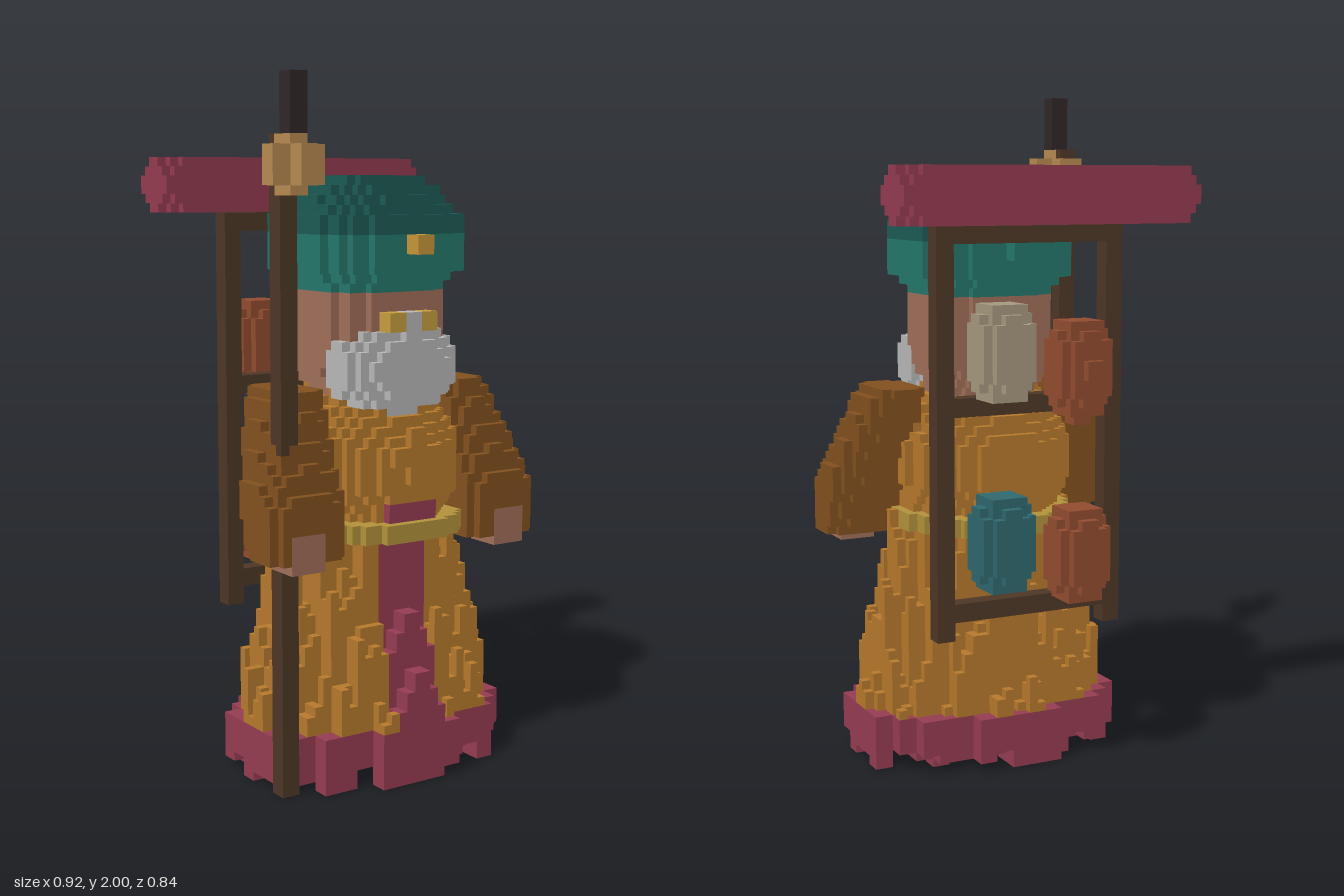
import * as THREE from 'three';
import { mergeGeometries } from 'three/addons/utils/BufferGeometryUtils.js';

const H = 1 / 37; // size of a fine cell; a coarse cell is 2 x 2 x 2 fine cells
const COLORS = {
  robe: 0xb97b2d, hem: 0x983d53, sash: 0x983d53, belt: 0xb5943c,
  sleeves: 0x84521f, hands: 0xa3705a, head: 0xa3705a, beard: 0xbababa, eyebrows: 0xc9a040,
  turbanBand: 0x24796c, turbanCrown: 0x1d5c55, turbanJewel: 0xc9983a,
  packFrame: 0x4f3827, bedroll: 0x963c52, creamJar: 0xa89a80, clayJars: 0x944d30, tealJar: 0x2f6a70,
  staff: 0x4f3827, staffKnob: 0xba8c52, staffTip: 0x302729,
};

// Small repeatable noise in 0..1
const noise = (a, b) => {
  const s = Math.sin(a * 127.1 + b * 311.7) * 43758.5453;
  return s - Math.floor(s);
};

export function createModel() {
  const model = new THREE.Group();
  const cells = new Map();
  const key = (i, j, k) => i + ',' + j + ',' + k;

  // Fine cells between two inclusive corners; keep() gets each cell's centre
  const fill = (part, [i0, j0, k0], [i1, j1, k1], keep = () => true) => {
    for (let i = i0; i <= i1; i++)
      for (let j = j0; j <= j1; j++)
        for (let k = k0; k <= k1; k++)
          if (keep(i + 0.5, j + 0.5, k)) cells.set(key(i, j, k), { part, i, j, k });
  };
  // Solid block given in inclusive coarse cells
  const block = (part, [i0, j0, k0], [i1, j1, k1] = [i0, j0, k0]) =>
    fill(part, [2 * i0 - 1, 2 * j0, 2 * k0], [2 * i1, 2 * j1 + 1, 2 * k1 + 1]);
  // Rounded body in fine units; a higher power is boxier
  const blob = (part, [cx, cy, cz], [rx, ry, rz], power = 2) =>
    fill(part, [cx - rx - 1, cy - ry - 1, cz - rz - 1].map(Math.floor), [cx + rx, cy + ry, cz + rz].map(Math.ceil),
      (x, y, z) => Math.abs((x - cx) / rx) ** power + Math.abs((y - cy) / ry) ** power
        + Math.abs((z - cz) / rz) ** power <= 1);
  // One rounded layer in fine units
  const disc = (part, j, cx, cz, rx, rz, power = 2) =>
    blob(part, [cx, j + 0.5, cz], [rx, 0.5, rz], power);

  // Skirt: fine columns get shorter towards the rim, uneven like folds; the hem ring is hollow
  for (let i = -15; i <= 14; i++) {
    for (let k = -6; k <= 15; k++) {
      const ci = Math.floor((i + 1) / 2), ck = Math.floor(k / 2);
      const e = Math.hypot(ci / 7.47, (ck - 2) / 5.37);
      if (e > 1.01) continue;
      const fold = (noise(ci, ck) - 0.5) * 6 + (noise(i, k + 50) - 0.5) * 5;
      const slope = Math.round(28 - (e - 0.62) * 68 + fold);
      const underSash = Math.abs(ci) < 2 && ck > 4;
      const top = underSash ? 5 : Math.min(27, Math.max(5, slope));
      const rim = e > 0.72;
      const bottom = rim ? Math.floor(noise(ck, ci) * 2.4) : 6;
      fill('robe', [i, bottom, k], [i, top, k]);
      if (rim) fill('hem', [i, bottom, k], [i, 5, k]);
    }
  }
  // Peaked, stepped sash down the front
  fill('sash', [-3, 0, 14], [2, 11, 15], (x, y) => y < 13 - 2 * Math.abs(x));
  fill('sash', [-3, 4, 12], [2, 17, 13], (x, y) => y < 19 - 2 * Math.abs(x));
  block('sash', [-1, 2, 5], [1, 12, 5]);

  // Torso with rounded chest, and belt
  const torso = [8.2, 8.6, 9, 9.3, 9.3, 9.3, 9.3, 9.3, 9, 8.4, 7.8, 7.2, 6.5, 5.8];
  torso.forEach((r, n) => disc('robe', 28 + n, 0, 4.5, r + 0.5, r));
  fill('robe', [-3, 34, 14], [2, 35, 14]);
  fill('robe', [-1, 32, 14], [0, 37, 14]);
  for (const j of [26, 27]) disc('belt', j, 0, 4.5, 10, 10.2);
  block('sash', [-1, 14, 6], [1, 14, 6]);

  // Staff held on the right, with a cross-shaped knob set on its front
  block('staff', [-7, 0, 5], [-7, 33, 5]);
  fill('staffKnob', [-15, 62, 11], [-14, 67, 13]);
  fill('staffKnob', [-17, 63, 12], [-12, 66, 13]);
  fill('staffKnob', [-15, 63, 10], [-14, 66, 15]);
  block('staffTip', [-7, 34, 6], [-7, 36, 6]);

  // Sleeves swing outwards and forwards down to the hands
  for (const side of [-1, 1]) {
    for (let j = 25; j <= 41; j++) {
      const t = (41 - j) / 16;
      const outer = Math.min(17, 13.4 + 5.5 * t);
      const back = 1 + 6.5 * t;
      const front = Math.min(13.4, 9 + 6.5 * t);
      disc('sleeves', j, side * (outer + 8) / 2, (back + front) / 2,
        (outer - 8) / 2 + 0.1, (front - back) / 2 + 0.2, 3);
    }
    block('hands', side > 0 ? [6, 12, 5] : [-7, 12, 5], side > 0 ? [7, 13, 6] : [-6, 13, 6]);
  }

  // Head, beard, nose and brows
  for (let j = 40; j <= 51; j++) {
    const r = j < 44 ? 5.2 + (j - 40) * 0.5 : 7.3;
    disc('head', j, 0, 4.5, r, r, 2.6);
  }
  blob('beard', [0, 44, 9.5], [7.4, 4.9, 4.4], 2.2);
  block('beard', [0, 23, 5], [0, 24, 6]);
  for (const i of [-1, 1]) block('eyebrows', [i, 24, 5], [i, 24, 6]);

  // Turban
  const wrap = [7.4, 8, 9.3, 9.3, 9.3, 9.3, 9.3, 9.3, 8.4, 7.8, 7.2, 5.5];
  wrap.forEach((r, n) => disc(n < 6 ? 'turbanBand' : 'turbanCrown', 52 + n, 0, 4.5, r, r, 2.5));
  block('turbanBand', [0, 28, -3]);
  block('turbanJewel', [0, 28, 7]);

  // Back frame with three rungs
  for (const i of [-5, 5]) block('packFrame', [i, 8, -4], [i, 29, -4]);
  for (const j of [9, 20, 29]) block('packFrame', [-5, j, -4], [5, j, -4]);

  // Bedroll with rounded-off ends
  fill('bedroll', [-17, 60, -14], [16, 65, -9],
    (x, y, z) => 17 - Math.abs(x) + 3 - Math.abs(y - 63) + 3 - Math.abs(z + 11.5) > 2.5);

  // Jars in pairs on the rungs, the upper clay one with a knob behind and below
  const jar = (part, cx, y) => blob(part, [cx, y + 5, -11.5], [3, 5, 3], 3);
  jar('creamJar', 5, 42);
  jar('clayJars', -4, 40);
  jar('tealJar', 5, 22);
  jar('clayJars', -4, 20);
  fill('clayJars', [-5, 44, -15], [-4, 45, -15]);
  fill('clayJars', [-5, 39, -12], [-4, 39, -11]);

  // Turn the cells into outer faces only, one mesh per part
  const faces = [
    [0, 0, 1, 0, 0], [0, 0, -1, 0, Math.PI],
    [1, 0, 0, 0, Math.PI / 2], [-1, 0, 0, 0, -Math.PI / 2],
    [0, 1, 0, -Math.PI / 2, 0], [0, -1, 0, Math.PI / 2, 0],
  ].map(([x, y, z, rx, ry]) => ({
    x, y, z,
    geometry: new THREE.PlaneGeometry(H, H).rotateX(rx).rotateY(ry).translate(x * H / 2, y * H / 2, z * H / 2),
  }));
  const geometries = {};
  for (const { part, i, j, k } of cells.values()) {
    for (const f of faces) {
      if (cells.has(key(i + f.x, j + f.y, k + f.z))) continue;
      (geometries[part] ??= []).push(f.geometry.clone().translate((i + 0.5) * H, (j + 0.5) * H, k * H));
    }
  }
  for (const [name, list] of Object.entries(geometries)) {
    const material = new THREE.MeshStandardMaterial({ color: COLORS[name] });
    const mesh = new THREE.Mesh(mergeGeometries(list), material);
    mesh.name = name;
    model.add(mesh);
  }
  return model;
}
